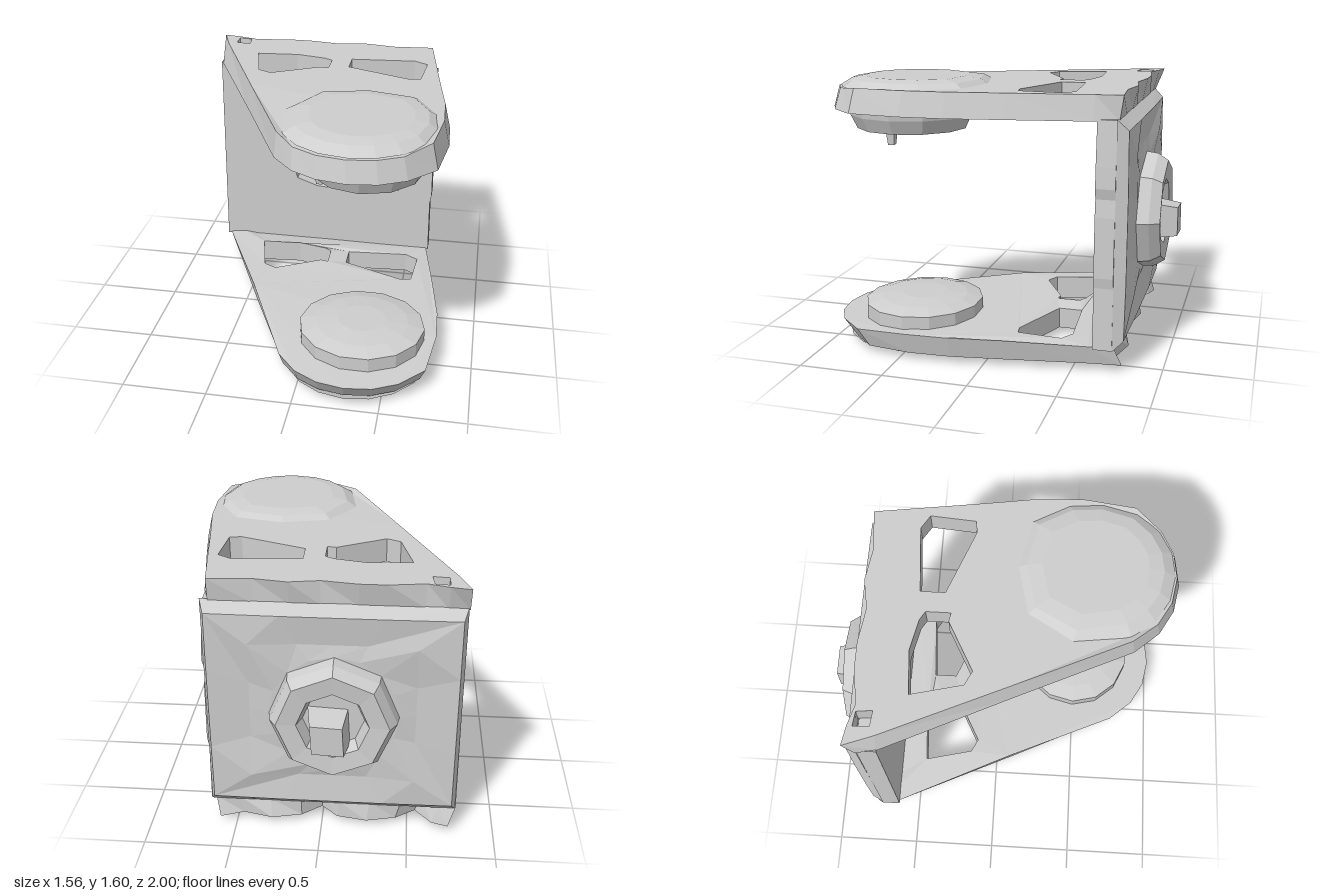
import * as THREE from 'three';

const grey = new THREE.MeshStandardMaterial({ color: 0xcecece, flatShading: true, side: THREE.DoubleSide });
grey.name = 'stone grey';

const V = ([x, y]) => new THREE.Vector2(x, y);
const flip = (pts) => pts.map(([x, z]) => V([x, -z]));

function add(group, name, geometry, x = 0, y = 0, z = 0) {
  const mesh = new THREE.Mesh(geometry, grey);
  mesh.name = name;
  mesh.position.set(x, y, z);
  group.add(mesh);
  return mesh;
}

// Mask outline, openings and muzzle, as x and z
const outline = [
  [-0.78, -0.79], [-0.67, -0.77], [-0.55, -0.735], [-0.35, -0.765], [-0.2, -0.765], [0, -0.735], [0.17, -0.765],
  [0.36, -0.735], [0.6, -0.755],
  [0.64, -0.6], [0.72, -0.12], [0.77, 0.2], [0.78, 0.45], [0.74, 0.76], [0.6, 0.91], [0.46, 0.98],
  [0.3, 1], [0.14, 0.97], [0, 0.89], [-0.12, 0.75], [-0.43, 0.08], [-0.76, -0.62]];
const jawOutline = [
  [-0.78, -0.78], [-0.68, -0.75], [-0.58, -0.64], [-0.46, -0.72], [-0.28, -0.76], [-0.1, -0.73], [0, -0.64],
  [0.12, -0.73], [0.3, -0.77], [0.48, -0.73], [0.62, -0.78], ...outline.slice(9)];
const eyes = [
  [[-0.48, -0.46], [-0.23, -0.48], [-0.05, -0.44], [0, -0.41], [0, -0.27], [-0.05, -0.28], [-0.33, -0.13], [-0.41, -0.17]],
  [[0.12, -0.45], [0.51, -0.48], [0.59, -0.43], [0.57, -0.17], [0.5, -0.16], [0.12, -0.31]]];
const cornerPit = [[-0.67, -0.74], [-0.59, -0.73], [-0.58, -0.64], [-0.67, -0.65]];
const muzzle = [[0.72, 0.35], [0.735, 0.55], [0.68, 0.75], [0.57, 0.87], [0.44, 0.94], [0.3, 0.96], [0.15, 0.93],
  [0.02, 0.85], [-0.08, 0.72], [-0.14, 0.4], [0, 0.13], [0.3, 0.06], [0.6, 0.13]];
const ellipse = (cx, cz, rx, rz, n = 14) => Array.from({ length: n }, (_, i) => {
  const a = i / n * Math.PI * 2;
  return [cx + rx * Math.cos(a), cz + rz * Math.sin(a)];
});

// Flat mask plate; rule(p, onRim) then shapes each vertex
function plate(rim, holes, depth, rule) {
  const shape = new THREE.Shape(flip(rim));
  holes.forEach((h) => shape.holes.push(new THREE.Path(flip(h))));
  const g = new THREE.ExtrudeGeometry(shape, { depth, bevelEnabled: false });
  g.rotateX(-Math.PI / 2);
  const pos = g.attributes.position;
  const p = new THREE.Vector3();
  for (let i = 0; i < pos.count; i++) {
    p.fromBufferAttribute(pos, i);
    const onRim = rim.some(([x, z]) => Math.hypot(x - p.x, z - p.z) < 0.001);
    rule(p, onRim);
    pos.setXYZ(i, p.x, p.y, p.z);
  }
  g.computeVertexNormals();
  return g;
}

function inset(p) {
  p.x = 0.1 + (p.x - 0.1) * 0.95;
  if (p.z > 0) p.z *= 0.97;
}

// Skin joining loops of equal point count, with the last loop closed
function skin(loops) {
  const n = loops[0].length;
  const index = [];
  for (let j = 0; j < loops.length - 1; j++) {
    for (let i = 0; i < n; i++) {
      const a = j * n + i, b = j * n + (i + 1) % n;
      index.push(a, a + n, b, b, a + n, b + n);
    }
  }
  const last = (loops.length - 1) * n;
  for (let i = 1; i < n - 1; i++) index.push(last, last + i + 1, last + i);
  const g = new THREE.BufferGeometry();
  g.setAttribute('position', new THREE.Float32BufferAttribute(loops.flat(2), 3));
  g.setIndex(index);
  g.computeVertexNormals();
  return g;
}

// Raised pad: an outline shrunk towards (cx, cz) in rings given as [y, scale]
function pad(points, cx, cz, rings) {
  return skin(rings.map(([y, k]) => points.map(([x, z]) => [cx + (x - cx) * k, y, cz + (z - cz) * k])));
}

function createModel() {
  const model = new THREE.Group();

  // Upper mask plate with swollen muzzle
  const upper = new THREE.Group();
  upper.name = 'upperMask';
  add(upper, 'upperPlate', plate(outline, [...eyes, cornerPit], 0.14, (p, onRim) => {
    if (p.y > 0.07) {
      if (onRim && p.z > -0.7) inset(p);
      if (p.z > 0.8) p.y -= 0.02;
    } else if (p.z < -0.73) {
      p.z = -0.735;
    }
  }), 0, 1.42);
  add(upper, 'upperMuzzle', pad(muzzle, 0.32, 0.52, [[1.545, 1], [1.585, 0.85], [1.6, 0.66]]));
  add(upper, 'upperPalate', pad(ellipse(0.35, 0.535, 0.36, 0.37, 12), 0.33, 0.53, [[1.43, 1], [1.38, 0.98], [1.3, 0.88]]));
  for (const x of [0.1, 0.515]) {
    const tooth = add(upper, 'tooth', new THREE.CylinderGeometry(0.04, 0.025, 0.1, 4), x, 1.265, 0.6);
    tooth.rotation.y = Math.PI / 4;
  }
  model.add(upper);

  // Lower mask plate with tongue pad
  const lower = new THREE.Group();
  lower.name = 'lowerMask';
  add(lower, 'lowerPlate', plate(jawOutline, eyes, 0.11, (p, onRim) => {
    if (p.y > 0.05) {
      if (p.z < 0.5 && p.z > -0.6) p.y += p.x < 0.1 ? 0.035 : 0.015;
      if (p.z < -0.74) p.z = -0.735;
    } else if (onRim) {
      inset(p);
      if (p.z > 0.6) p.z *= 0.95;
    }
  }), 0, 0.04);
  add(lower, 'lowerChin', pad(muzzle, 0.32, 0.43, [[0.045, 1], [0.012, 0.86], [0, 0.68]]));
  add(lower, 'tongue', pad(ellipse(0.335, 0.49, 0.375, 0.355), 0.335, 0.49, [[0.12, 1], [0.24, 1], [0.265, 0.74], [0.28, 0.38]]));
  model.add(lower);

  // Upright wall with sunken nose and mouth
  const wall = new THREE.Group();
  wall.name = 'wall';
  const slab = new THREE.Shape([[-0.78, 0.14], [0.65, 0.14], [0.645, 0.5], [0.655, 0.56], [0.65, 0.9], [0.64, 1],
    [0.655, 1.06], [0.65, 1.18], [0.63, 1.43], [-0.77, 1.43]].map(V));
  slab.holes.push(new THREE.Path([[-0.13, 1.14], [-0.01, 1.13], [0.01, 1], [0.15, 0.98], [0.16, 0.86], [0.04, 0.86],
    [0.01, 0.98], [-0.14, 0.98], [-0.16, 0.86], [-0.3, 0.86], [-0.28, 0.98], [-0.15, 1]].map(V)));
  slab.holes.push(new THREE.Path([[-0.3, 0.73], [-0.16, 0.69], [0.02, 0.68], [0.16, 0.73], [0.13, 0.62], [0.02, 0.67],
    [0, 0.56], [-0.13, 0.57], [-0.27, 0.62]].map(V)));
  add(wall, 'wallSlab', new THREE.ExtrudeGeometry(slab, { depth: 0.11, bevelEnabled: false }), 0, 0, -0.73);

  // Faceted back, bulging to the sides, with ridges running to the corners
  const square = (hx, hy, zRidge, zPanel) => Array.from({ length: 16 }, (_, i) => {
    const a = i / 16 * Math.PI * 2, c = Math.cos(a), s = Math.sin(a);
    const k = 1 / Math.max(Math.abs(c), Math.abs(s));
    return [-0.065 + hx * c * k, 0.785 + hy * s * k, i % 4 === 2 ? zRidge : zPanel];
  });
  const ring = ellipse(-0.075, 0.78, 0.36, 0.36, 16).map(([x, y]) => [x, y, -0.79]);
  add(wall, 'ridgedBack', skin([square(0.71, 0.65, -0.73, -0.73), square(0.685, 0.59, -0.79, -0.795),
    square(0.46, 0.42, -0.805, -0.775), ring]));

  // Round dished boss with a central stud
  const boss = new THREE.LatheGeometry(
    [[0.36, 0], [0.35, 0.07], [0.31, 0.13], [0.2, 0.12], [0.17, 0.04], [0, 0.04]].map(V), 8);
  boss.rotateX(-Math.PI / 2);
  add(wall, 'boss', boss, -0.075, 0.78, -0.79);
  const stud = add(wall, 'stud', new THREE.CylinderGeometry(0.13, 0.17, 0.2, 4), -0.05, 0.74, -0.9);
  stud.rotation.set(-Math.PI / 2, Math.PI / 4, 0);
  stud.scale.set(0.9, 1, 1);
  model.add(wall);

  return model;
}

export { createModel };
